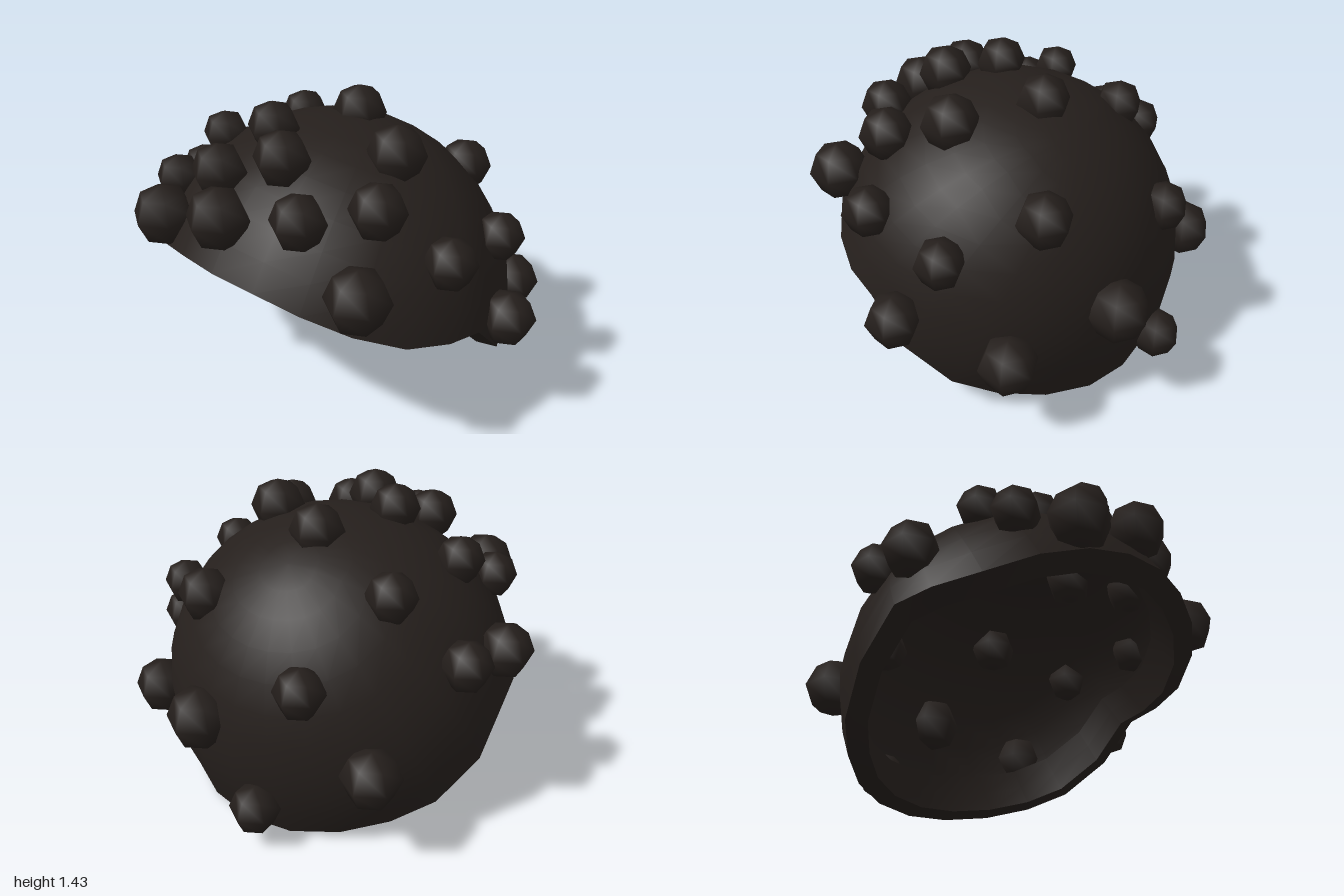
import * as THREE from 'three';
import { mergeVertices } from 'three/addons/utils/BufferGeometryUtils.js';

// Half of the rim from back centre round the left side to front centre: x offset, y, z
const HALF_RIM = [
  [0, 0, -0.69], [0.23, 0.015, -0.66], [0.445, 0.05, -0.56], [0.63, 0.11, -0.42],
  [0.78, 0.2, -0.27], [0.885, 0.37, -0.07], [0.89, 0.57, 0.12], [0.86, 0.6, 0.3],
  [0.77, 0.64, 0.49], [0.62, 0.725, 0.66], [0.43, 0.8, 0.77], [0.22, 0.85, 0.83], [0, 0.865, 0.855],
];

// Curl balls: x, y, z, radius
const CURLS = [
  [-0.16, 0.2, -0.78, 0.12], [0.165, 0.56, -0.76, 0.15], [-0.65, 0.48, -0.58, 0.14],
  [0.64, 0.42, -0.53, 0.14], [-0.32, 0.82, -0.64, 0.12], [0.345, 1.01, -0.47, 0.13],
  [-0.495, 1.14, -0.215, 0.12], [-0.04, 1.3, -0.12, 0.13], [-0.83, 0.87, -0.12, 0.12],
  [-0.885, 0.83, 0.16, 0.132], [0.345, 1.265, 0.088, 0.137], [0.72, 0.86, -0.215, 0.117],
  [0.885, 0.56, -0.07, 0.13], [0.745, 0.935, 0.22, 0.12], [-0.575, 1.155, 0.26, 0.117],
  [-0.2, 1.31, 0.295, 0.122], [0.02, 1.28, 0.465, 0.13], [0.48, 1.155, 0.38, 0.128],
  [-0.64, 0.995, 0.52, 0.115], [-0.24, 1.19, 0.597, 0.128], [0.27, 1.135, 0.632, 0.125],
  [0.59, 0.9, 0.635, 0.145], [-0.49, 0.937, 0.74, 0.147], [-0.07, 1.085, 0.765, 0.142],
];

const CENTRE = new THREE.Vector3(-0.035, 0.48, 0.08);
const CROWN = new THREE.Vector3(0, 0.875, -0.485).normalize();
const CROWN_RADIUS = 0.84;
const WIDEN = 1.04;      // the cap is slightly wider than deep
const LIP_SCALE = 0.885; // inner face of the lip relative to the shell
const LIP_DROP = 0.025;  // the lip sits a little lower than the shell
const LIP_START = 0.84;  // how far from crown to rim the lip begins
const ROWS = 10;

// Closed ring of rim points relative to the centre, in unwidened space
function rimRing() {
  const mirrored = HALF_RIM.slice(1, -1).reverse().map(([x, y, z]) => [-x, y, z]);
  return [...HALF_RIM, ...mirrored].map(([x, y, z]) =>
    new THREE.Vector3(x / WIDEN, y - CENTRE.y, z - CENTRE.z));
}

// Ring part way (t) from the crown to the rim, along great arcs
function capRing(rim, t, scale = 1, drop = 0) {
  return rim.map((p) => {
    const length = p.length();
    const dir = p.clone().divideScalar(length);
    const angle = CROWN.angleTo(dir);
    const axis = CROWN.clone().cross(dir).normalize();
    const radius = THREE.MathUtils.lerp(CROWN_RADIUS, length, t ** 4) * scale;
    const v = CROWN.clone().applyAxisAngle(axis, angle * t).multiplyScalar(radius);
    v.x *= WIDEN;
    v.y -= drop;
    return v.add(CENTRE);
  });
}

// Skin a list of closed rings
function loft(rings) {
  const n = rings[0].length;
  const index = [];
  for (let i = 0; i < rings.length - 1; i++) {
    for (let j = 0; j < n; j++) {
      const k = (j + 1) % n;
      const a = i * n + j, d = i * n + k, b = a + n, c = d + n;
      index.push(a, c, b, a, d, c);
    }
  }
  let geometry = new THREE.BufferGeometry().setFromPoints(rings.flat());
  geometry.setIndex(index);
  geometry = mergeVertices(geometry, 1e-5);
  geometry.computeVertexNormals();
  return geometry;
}

export function createModel() {
  const model = new THREE.Group();
  model.name = 'curlyHair';
  const hair = new THREE.MeshStandardMaterial({ color: 0x251f1c, side: THREE.DoubleSide });
  const add = (name, geometry, parent = model) => {
    const mesh = new THREE.Mesh(geometry, hair);
    mesh.name = name;
    parent.add(mesh);
    return mesh;
  };

  // Thin cap shell, its flat rim, and a lip folded up inside it
  const rim = rimRing();
  const lipRing = (t) => capRing(rim, t, LIP_SCALE, LIP_DROP);
  const steps = Array.from({ length: ROWS + 1 }, (_, i) => i / ROWS);
  add('capShell', loft(steps.map((t) => capRing(rim, t))));
  add('capRim', loft([capRing(rim, 1), lipRing(1)]));
  add('capLip', loft([lipRing(1), lipRing((1 + LIP_START) / 2), lipRing(LIP_START)]));

  // Scattered curls, low-sided but smooth, poking through the shell
  const curls = new THREE.Group();
  curls.name = 'curls';
  model.add(curls);
  const ball = new THREE.SphereGeometry(1, 6, 4).rotateY(Math.PI / 2);
  CURLS.forEach(([x, y, z, r], i) => {
    const curl = add(`curl${i + 1}`, ball, curls);
    curl.position.set(x, y, z);
    curl.scale.setScalar(r);
  });
  return model;
}
